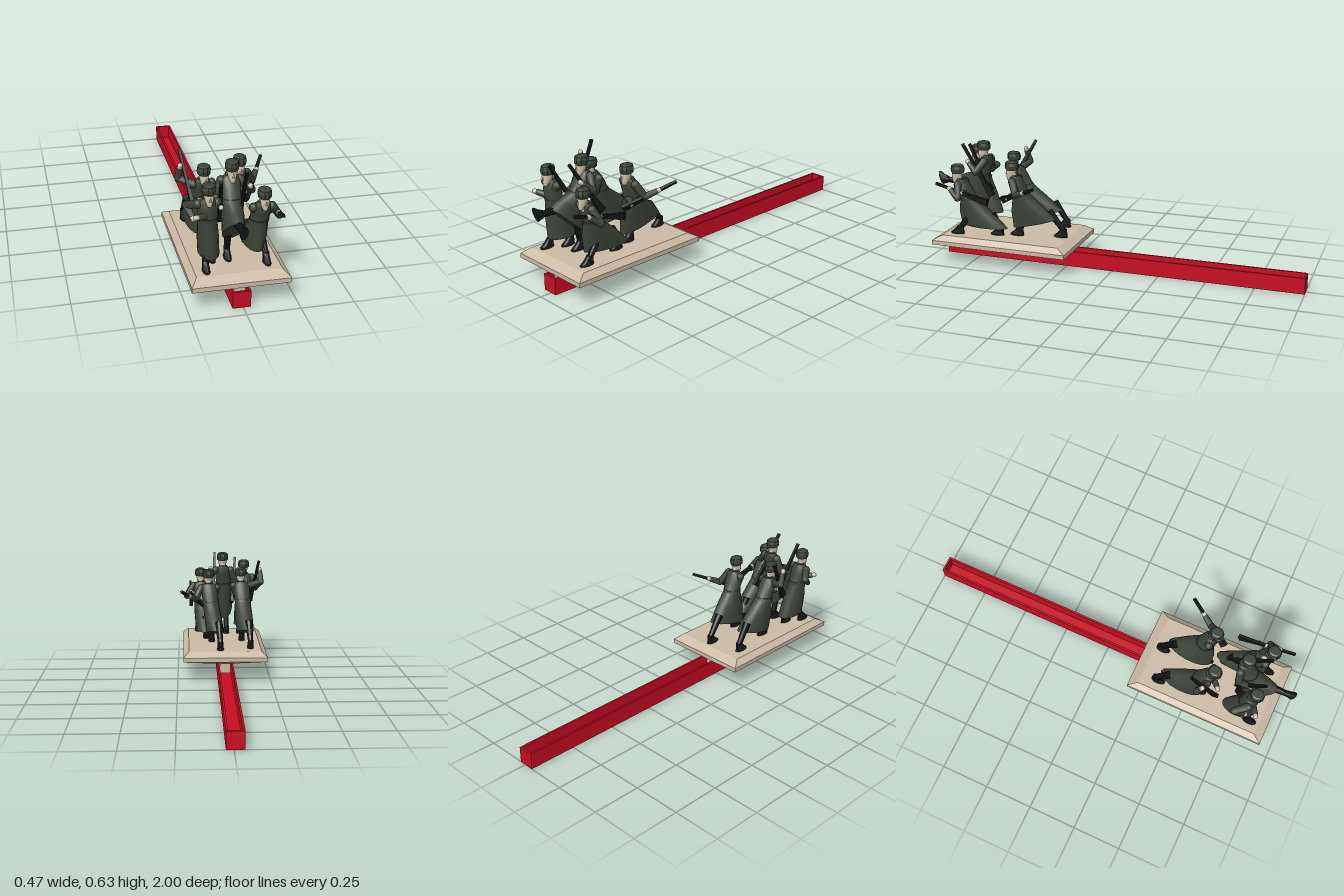
import * as THREE from 'three';

const mat = (color, flatShading = false) => new THREE.MeshStandardMaterial({ color, flatShading, side: THREE.DoubleSide });
const COAT = mat(0x3d443a), FUR = mat(0x3a4238, true), SKIN = mat(0xd8c6ae), BLACK = mat(0x16191b, true);
const STONE = mat(0xcbbba5, true), RED = mat(0xc80d22, true);
const V = (x, y, z) => new THREE.Vector3(x, y, z);
const UP = V(0, 1, 0), lerp = THREE.MathUtils.lerp;

function add(parent, name, geometry, material, pos = V(0, 0, 0)) {
  const m = new THREE.Mesh(geometry, material);
  m.name = name;
  m.position.copy(pos);
  parent.add(m);
  return m;
}

function group(parent, name, pos) {
  const g = new THREE.Group();
  g.name = name;
  g.position.copy(pos);
  parent.add(g);
  return g;
}

// Closed skin over rings of points listed from top to bottom
function skin(rings) {
  const n = rings[0].length, pos = rings.flat(2), idx = [];
  for (let i = 0; i < rings.length - 1; i++) {
    for (let j = 0; j < n; j++) {
      const a = i * n + j, b = i * n + (j + 1) % n;
      idx.push(a, b, a + n, b, b + n, a + n);
    }
  }
  [rings[0], rings[rings.length - 1]].forEach((r, bottom) => {
    const s = pos.length / 3;
    pos.push(...r.flat(), ...[0, 1, 2].map((k) => r.reduce((t, p) => t + p[k], 0) / n));
    for (let j = 0; j < n; j++) {
      const k = (j + 1) % n;
      idx.push(s + n, ...(bottom ? [s + j, s + k] : [s + k, s + j]));
    }
  });
  const g = new THREE.BufferGeometry();
  g.setAttribute('position', new THREE.Float32BufferAttribute(pos, 3));
  g.setIndex(idx);
  g.computeVertexNormals();
  return g;
}

// Elliptical rings: [x, y, z, rx, rz, pitch]; positive pitch lifts the front
const loft = (rings, n = 16) => skin(rings.map(([x, y, z, rx, rz, p = 0]) =>
  Array.from({ length: n }, (_, j) => {
    const t = j / n * Math.PI * 2, s = rz * Math.sin(t);
    return [x + rx * Math.cos(t), y + s * Math.sin(p), z + s * Math.cos(p)];
  })));

// Tapered limb from a to b with a rounded joint at b
function limb(parent, name, a, b, ra, rb, material) {
  const d = b.clone().sub(a);
  const m = add(parent, name, new THREE.CylinderGeometry(rb, ra, d.length(), 10), material, a.clone().lerp(b, 0.5));
  m.quaternion.setFromUnitVectors(UP, d.normalize());
  add(parent, name + 'Joint', new THREE.SphereGeometry(rb, 10, 8), material, b);
}

// The elbow bends outward, down and back to reach the hand
function arm(parent, side, shoulder, hand) {
  const d = hand.clone().sub(shoulder), bend = Math.sqrt(Math.max(0.0002, 0.0055 - d.lengthSq() / 4));
  const out = V(side * 0.5, -0.8, -0.5).projectOnPlane(d.clone().normalize()).normalize();
  const elbow = shoulder.clone().addScaledVector(d, 0.5).addScaledVector(out, bend);
  const wrist = elbow.clone().lerp(hand, 0.78);
  add(parent, 'shoulder', new THREE.SphereGeometry(0.021, 10, 8), COAT, shoulder);
  limb(parent, 'upperSleeve', shoulder, elbow, 0.02, 0.018, COAT);
  limb(parent, 'foreSleeve', elbow, wrist, 0.018, 0.014, COAT);
  limb(parent, 'hand', wrist, hand, 0.012, 0.012, SKIN);
}

function leg(parent, hem, ankle) {
  const hip = V(lerp(ankle.x, hem.x, 0.3), hem.y + 0.07, (ankle.z + hem.z) / 2);
  limb(parent, 'bootShaft', hip, ankle, 0.02, 0.014, BLACK);
  const foot = add(parent, 'foot', loft([
    [0, 0.012, 0, 0.015, 0.016], [0, -0.008, 0.008, 0.016, 0.026],
    [0, -0.024, 0.018, 0.018, 0.037], [0, -0.033, 0.018, 0.018, 0.038]], 10), BLACK, ankle);
  foot.rotation.x = ankle.y > 0.3 ? -1.25 : 0;
}

function head(parent, pos) {
  const g = group(parent, 'head', pos);
  add(g, 'face', loft([[0, 0.03, 0, 0.024, 0.028], [0, 0, 0.004, 0.023, 0.027],
    [0, -0.025, 0.008, 0.017, 0.022], [0, -0.043, 0.014, 0.01, 0.012]], 12), SKIN);
  add(g, 'nose', new THREE.ConeGeometry(0.006, 0.022, 4), SKIN, V(0, -0.004, 0.031));
  add(g, 'neck', new THREE.CylinderGeometry(0.014, 0.018, 0.05, 10), SKIN, V(0, -0.028, -0.008));
  const hat = [[0.057, 0.02], [0.052, 0.029], [0.035, 0.033], [0.018, 0.031], [0.012, 0.026]];
  add(g, 'furHat', loft(hat.map(([y, r]) => [0, y, 0, r, r + 0.004]), 10), FUR);
}

// Rifle running from butt to muzzle
function rifle(parent, butt, tip) {
  const g = group(parent, 'rifle', butt), d = tip.clone().sub(butt), L = d.length();
  g.quaternion.setFromUnitVectors(UP, d.normalize());
  const sq = (y, w, h) => [[w, y, -h], [w, y, h], [-w, y, h], [-w, y, -h]];
  add(g, 'stock', skin([sq(L * 0.62, 0.007, 0.009), sq(L * 0.3, 0.008, 0.011), sq(0, 0.01, 0.018)]), BLACK);
  add(g, 'barrel', skin([sq(L, 0.0065, 0.0065), sq(L * 0.5, 0.0075, 0.0075)]), BLACK);
  add(g, 'bolt', new THREE.BoxGeometry(0.024, 0.008, 0.007), BLACK, V(0, L * 0.36, -0.004));
}

// Coat rows run from the collar at the neck to the tilted hem
function coat(parent, neck, hem, depth, pitch) {
  const drop = neck.y - hem.y, waist = 0.105 / drop;
  const row = (f, rx, rz, p) => {
    const e = f ** 1.3;
    return [lerp(neck.x, hem.x, e), neck.y - f * drop, lerp(neck.z, hem.z, e), rx, rz, p * pitch];
  };
  add(parent, 'greatcoat', loft([row(0, 0.019, 0.02, 0), row(0.015 / drop, 0.042, 0.028, 0),
    row(0.055 / drop, 0.046, 0.042, 0), row(waist, 0.043, 0.044, 0.2),
    row((1 + waist) / 2, 0.049, lerp(0.044, depth, 0.6), 0.7), row(1, 0.048, depth, 1)]), COAT);
  const band = (name, f, rx, rz, p) => add(parent, name, loft([row(f, rx, rz, p), row(f + 0.05, rx, rz, p)]), COAT);
  band('collar', 0, 0.022, 0.023, 0);
  band('belt', waist - 0.025, 0.046, 0.047, 0.2);
}

// A hand is a point, or a fraction along the rifle from butt to muzzle
function soldier(model, name, { neck, hem, depth, pitch, hands, feet, gun }) {
  const g = group(model, name, V(0, 0, 0));
  coat(g, neck, hem, depth, pitch);
  head(g, neck.clone().add(V(0.003, 0.015, 0.017)));
  rifle(g, ...gun);
  hands.forEach((h, i) => {
    const side = i ? -1 : 1, grip = h.isVector3 ? h : gun[0].clone().lerp(gun[1], h);
    arm(g, side, neck.clone().add(V(side * 0.043, -0.027, 0)), grip);
  });
  feet.forEach((f) => leg(g, hem, f));
}

export function createModel() {
  const model = new THREE.Group();
  model.name = 'soldierGroupOnRail';
  const box = (name, x0, x1, y0, y1, z0, z1, m) => add(model, name,
    new THREE.BoxGeometry(x1 - x0, y1 - y0, z1 - z0), m, V(x0 + x1, y0 + y1, z0 + z1).multiplyScalar(0.5));

  // Open-topped red rail
  box('railFloor', -0.049, 0.035, 0, 0.01, -1, 0.94, RED);
  for (const x of [-0.049, 0.025]) box('railSideWall', x, x + 0.01, 0.01, 0.083, -1, 0.94, RED);
  for (const z of [-1, 0.93]) box('railEndWall', -0.039, 0.025, 0.01, 0.083, z, z + 0.01, RED);

  // Bevelled plinth with a sloping underside and a key sitting in the rail
  const rect = (y, hx, hz) => [[1, -1], [1, 1], [-1, 1], [-1, -1]].map(([i, k]) => [i * hx - 0.007, y, k * hz + 0.567]);
  add(model, 'plinth', skin([rect(0.152, 0.197, 0.325), rect(0.126, 0.227, 0.373),
    rect(0.103, 0.227, 0.373), rect(0.085, 0.037, 0.33)]), STONE);
  box('plinthKey', -0.036, 0.022, 0.03, 0.09, 0.25, 0.89, STONE);

  const ankle = (x, z, y = 0.185) => V(x, y, z);
  soldier(model, 'highSteppingSoldier', {
    neck: V(-0.011, 0.556, 0.71), hem: V(-0.02, 0.325, 0.82), depth: 0.125, pitch: 0.75,
    hands: [V(0.06, 0.528, 0.79), V(-0.07, 0.43, 0.785)],
    feet: [ankle(-0.03, 0.735), ankle(-0.016, 0.955, 0.395)], gun: [V(0.05, 0.35, 0.66), V(0.035, 0.615, 0.83)],
  });
  soldier(model, 'frontRightSoldier', {
    neck: V(-0.138, 0.5, 0.81), hem: V(-0.123, 0.205, 0.765), depth: 0.085, pitch: 0,
    hands: [V(-0.2, 0.432, 0.862), V(-0.2, 0.4, 0.81)],
    feet: [ankle(-0.15, 0.825), ankle(-0.105, 0.735)], gun: [V(-0.062, 0.34, 0.72), V(-0.085, 0.585, 0.85)],
  });
  soldier(model, 'frontLeftSoldier', {
    neck: V(0.115, 0.453, 0.805), hem: V(0.1, 0.197, 0.685), depth: 0.13, pitch: 0.03,
    hands: [0.74, 0.5],
    feet: [ankle(0.135, 0.81), ankle(0.09, 0.6)], gun: [V(0.175, 0.35, 0.63), V(0.178, 0.43, 0.92)],
  });
  soldier(model, 'rearLeftSoldier', {
    neck: V(0.075, 0.485, 0.513), hem: V(0.042, 0.22, 0.425), depth: 0.125, pitch: -0.25,
    hands: [0.68, 0.16],
    feet: [ankle(0.06, 0.5), ankle(0.018, 0.27)], gun: [V(0.1, 0.35, 0.58), V(0.228, 0.462, 0.35)],
  });
  soldier(model, 'rearRightSoldier', {
    neck: V(-0.11, 0.485, 0.582), hem: V(-0.126, 0.22, 0.45), depth: 0.12, pitch: -0.25,
    hands: [V(-0.14, 0.4, 0.64), V(-0.212, 0.553, 0.575)],
    feet: [ankle(-0.11, 0.53), ankle(-0.148, 0.315)], gun: [V(-0.165, 0.37, 0.64), V(-0.203, 0.605, 0.51)],
  });
  return model;
}
